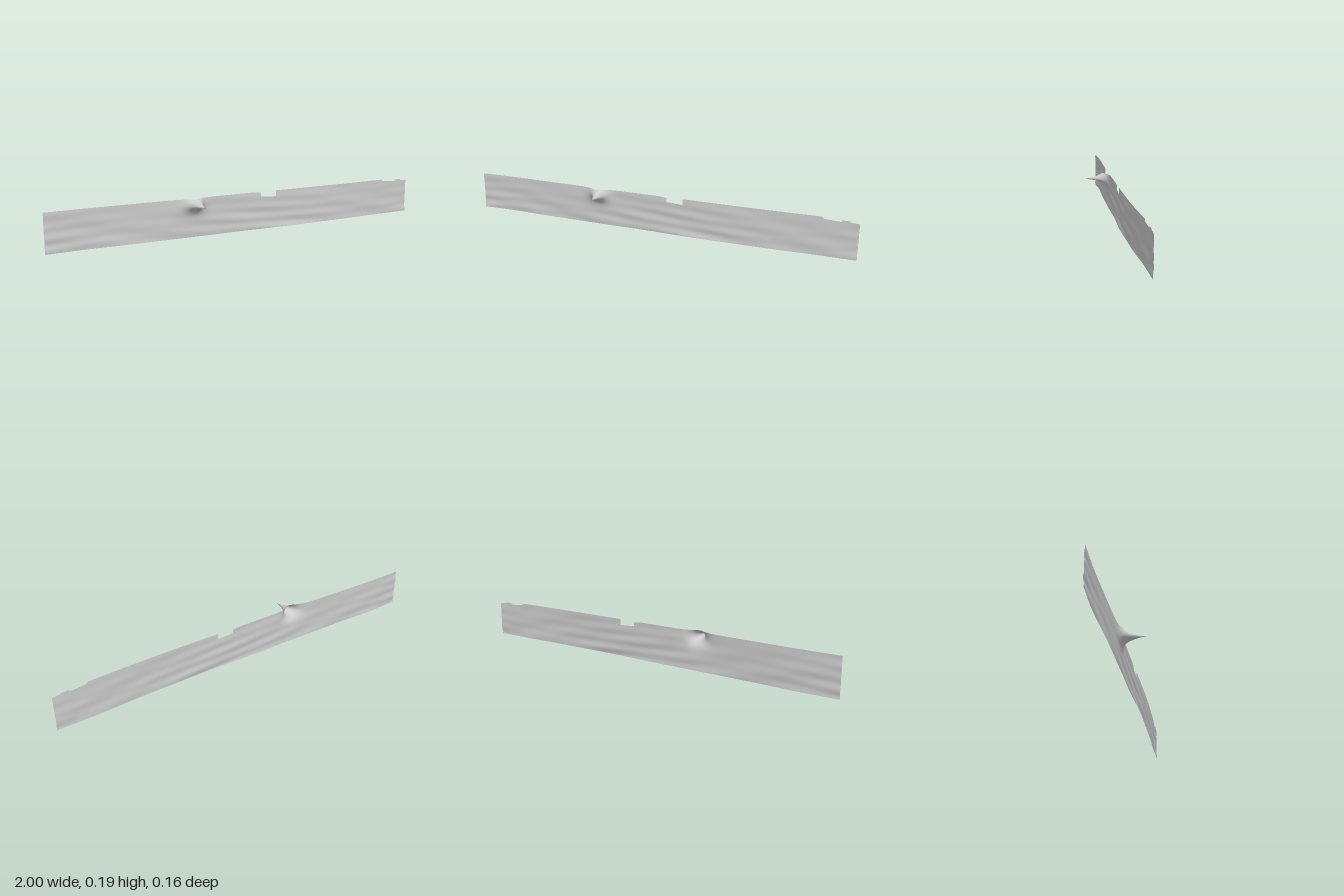
import * as THREE from 'three';
import { mergeVertices } from 'three/addons/utils/BufferGeometryUtils.js';

const ROWS = 38, ROW = 0.005;
const SPIKE = { x: -0.285, y: 0.16, tip: 0.08 };

// Gentle lengthwise bend of the strip, seen from above
const bend = new THREE.SplineCurve([
  [-1, -0.073], [-0.8, -0.069], [-0.6, -0.058], [-0.4, -0.045], [-0.2, -0.036], [0, -0.027],
  [0.2, -0.018], [0.4, -0.009], [0.6, -0.004], [0.8, -0.002], [1, 0],
].map(([x, z]) => new THREE.Vector2(x, z)));
const bendAt = x => bend.getPoint((x + 1) / 2).y;

// Long shallow streaks, stronger towards the bottom edge
function streaks(x, y) {
  const low = 1 - y / 0.19;
  const grain = Math.sin(y * 120 + 2.2 * Math.sin(x * 3.1)) * (0.6 + 0.4 * Math.sin(x * 5 + 1));
  const ripple = Math.sin(x * 11 + y * 45) * Math.sin(x * 4.3 + y * 20);
  return (0.0013 * grain + 0.0016 * ripple) * (0.4 + low) + 0.002 * low * Math.sin(x * 7 - 1);
}

// Concave spike pulled out of the sheet, cut off by the top edge
function spike(x, y) {
  const dx = (x - SPIKE.x) / (x < SPIKE.x ? 0.034 : 0.025);
  const dy = (y - SPIKE.y) / (y > SPIKE.y ? 0.026 : 0.02);
  const r = Math.hypot(dx, dy);
  return (SPIKE.tip - bendAt(SPIKE.x)) * Math.exp(-r) * Math.max(0, 1 - r / 6);
}

const depth = (x, y) => {
  const s = spike(x, y);
  return bendAt(x) + s + streaks(x, y) * Math.max(0, 1 - s / 0.06);
};

// Spans of the strip: start x, end x, top at start, top at end, column width
const spans = [
  [-1, -0.42, 0.19, 0.19, 0.02],
  [-0.42, -0.15, 0.19, 0.19, 0.005],
  [-0.15, 0.03, 0.19, 0.19, 0.02],
  [0.03, 0.075, 0.19, 0.185, 0.015],
  [0.075, 0.16, 0.165, 0.16, 0.017],
  [0.16, 0.83, 0.19, 0.19, 0.02],
  [0.83, 0.84, 0.19, 0.18, 0.01],
  [0.84, 0.92, 0.18, 0.175, 0.02],
  [0.92, 0.96, 0.183, 0.183, 0.02],
  [0.96, 1, 0.178, 0.174, 0.02],
];

function stripGeometry() {
  const pos = [], index = [];
  for (const [x0, x1, t0, t1, step] of spans) {
    const n = Math.round((x1 - x0) / step);
    for (let i = 0; i <= n; i++) {
      const x = x0 + (x1 - x0) * i / n, top = t0 + (t1 - t0) * i / n;
      const base = pos.length / 3;
      for (let j = 0; j <= ROWS; j++) {
        const y = Math.min(j * ROW, top);
        pos.push(x, y, depth(x, y));
      }
      if (i === n) continue;
      for (let j = 0; j < ROWS; j++) {
        if (j * ROW >= Math.max(t0, t1)) break;
        const a = base + j, b = a + ROWS + 1;
        index.push(a, b, b + 1, a, b + 1, a + 1);
      }
    }
  }
  const geo = new THREE.BufferGeometry();
  geo.setAttribute('position', new THREE.Float32BufferAttribute(pos, 3));
  geo.setIndex(index);
  const merged = mergeVertices(geo, 1e-5);
  merged.computeVertexNormals();
  return merged;
}

export function createModel() {
  const group = new THREE.Group();
  group.name = 'spikedStrip';
  // Single thin sheet, open on both sides
  const strip = new THREE.Mesh(
    stripGeometry(),
    new THREE.MeshStandardMaterial({ color: 0xcccccc, side: THREE.DoubleSide }),
  );
  strip.name = 'notchedStripWithSpike';
  group.add(strip);
  return group;
}
